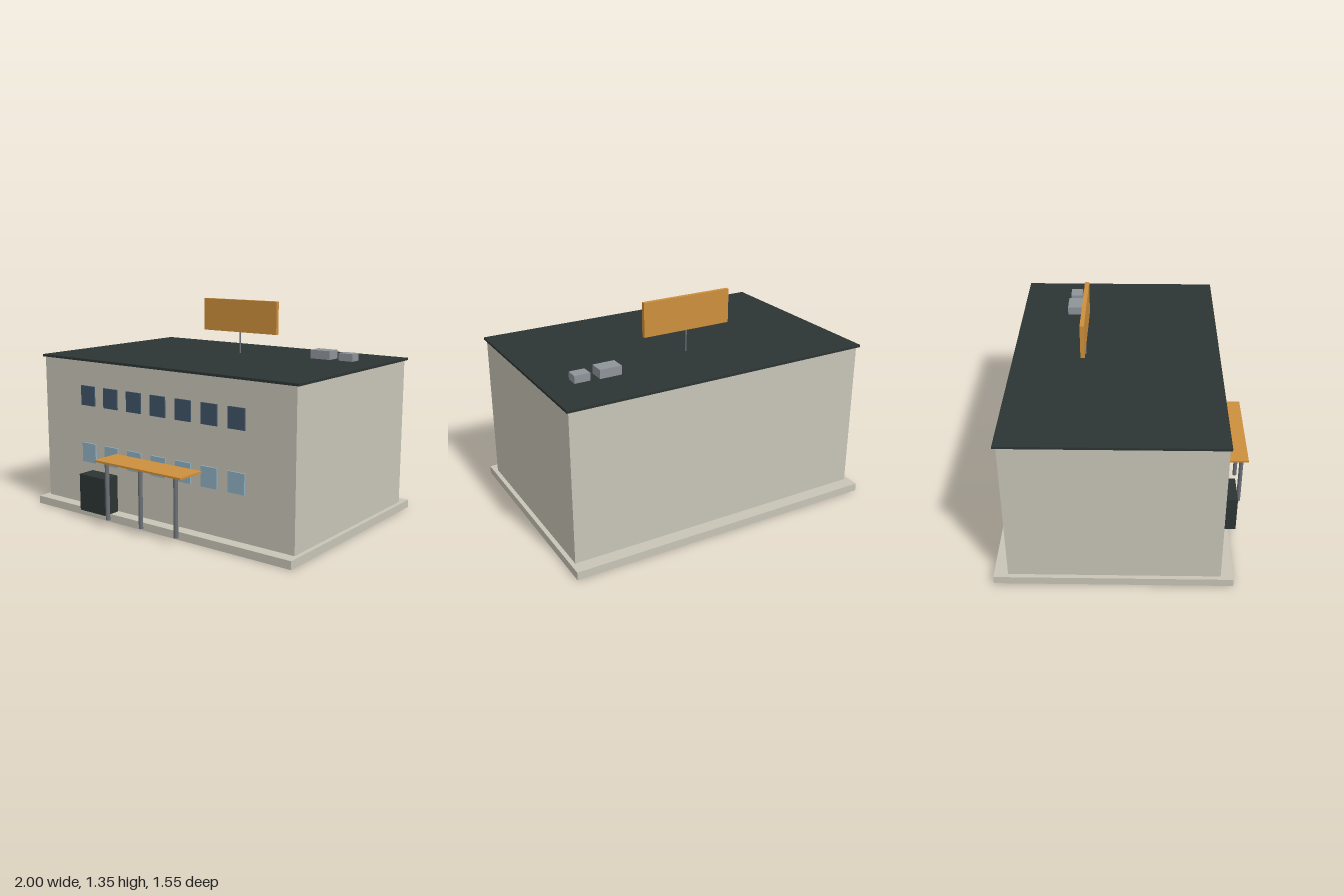
import * as THREE from 'three';

const material = (name, color) => {
  const m = new THREE.MeshStandardMaterial({ color });
  m.name = name;
  return m;
};

export function createModel() {
  const model = new THREE.Group();
  model.name = 'commercialBuilding';

  const stone = material('warm stone', 0xc8c4b7);
  const dark = material('dark slate', 0x2c3534);
  const orange = material('orange', 0xcc8f3c);
  const darkGlass = material('dark glass', 0x3f5466);
  const paleGlass = material('pale glass', 0x8fb1c2);
  const steel = material('steel', 0x6c7075);
  const unitGrey = material('unit grey', 0x8f9499);

  // Box given by its extents along each axis
  const box = (name, mat, [x0, x1], [y0, y1], [z0, z1]) => {
    const mesh = new THREE.Mesh(new THREE.BoxGeometry(x1 - x0, y1 - y0, z1 - z0), mat);
    mesh.position.set((x0 + x1) / 2, (y0 + y1) / 2, (z0 + z1) / 2);
    mesh.name = name;
    model.add(mesh);
  };

  // Upright round post
  const post = (name, radius, x, z, y0, y1) => {
    const mesh = new THREE.Mesh(new THREE.CylinderGeometry(radius, radius, y1 - y0, 12), steel);
    mesh.position.set(x, (y0 + y1) / 2, z);
    mesh.name = name;
    model.add(mesh);
  };

  // Plinth, walls and flat roof
  box('plinth', stone, [-1, 1], [0, 0.05], [-0.775, 0.645]);
  box('walls', stone, [-0.973, 0.973], [0.05, 0.987], [-0.69, 0.57]);
  box('roof', dark, [-0.988, 0.988], [0.985, 1], [-0.708, 0.58]);

  // Two rows of seven windows
  for (let i = -3; i <= 3; i++) {
    const x = i * 0.1943;
    const span = [x - 0.058, x + 0.058];
    box('upperWindow', darkGlass, span, [0.702, 0.828], [0.57, 0.5795]);
    box('lowerWindow', paleGlass, span, [0.332, 0.457], [0.57, 0.5795]);
  }

  // Entrance and canopy on three posts
  box('entrance', dark, [-0.555, -0.34], [0.05, 0.285], [0.578, 0.694]);
  box('canopy', orange, [-0.34, 0.338], [0.412, 0.424], [0.578, 0.772]);
  for (const x of [-0.272, 0, 0.272]) post('canopyPost', 0.0135, x, 0.735, 0.05, 0.412);

  // Rooftop sign board on a pole
  post('signPole', 0.005, 0, -0.257, 1, 1.14);
  box('signBoard', orange, [-0.292, 0.292], [1.138, 1.35], [-0.27, -0.244]);

  // Rooftop ventilation units
  box('largeVent', unitGrey, [0.512, 0.65], [1, 1.055], [-0.405, -0.308]);
  box('smallVent', unitGrey, [0.705, 0.803], [1, 1.047], [-0.397, -0.32]);

  return model;
}
